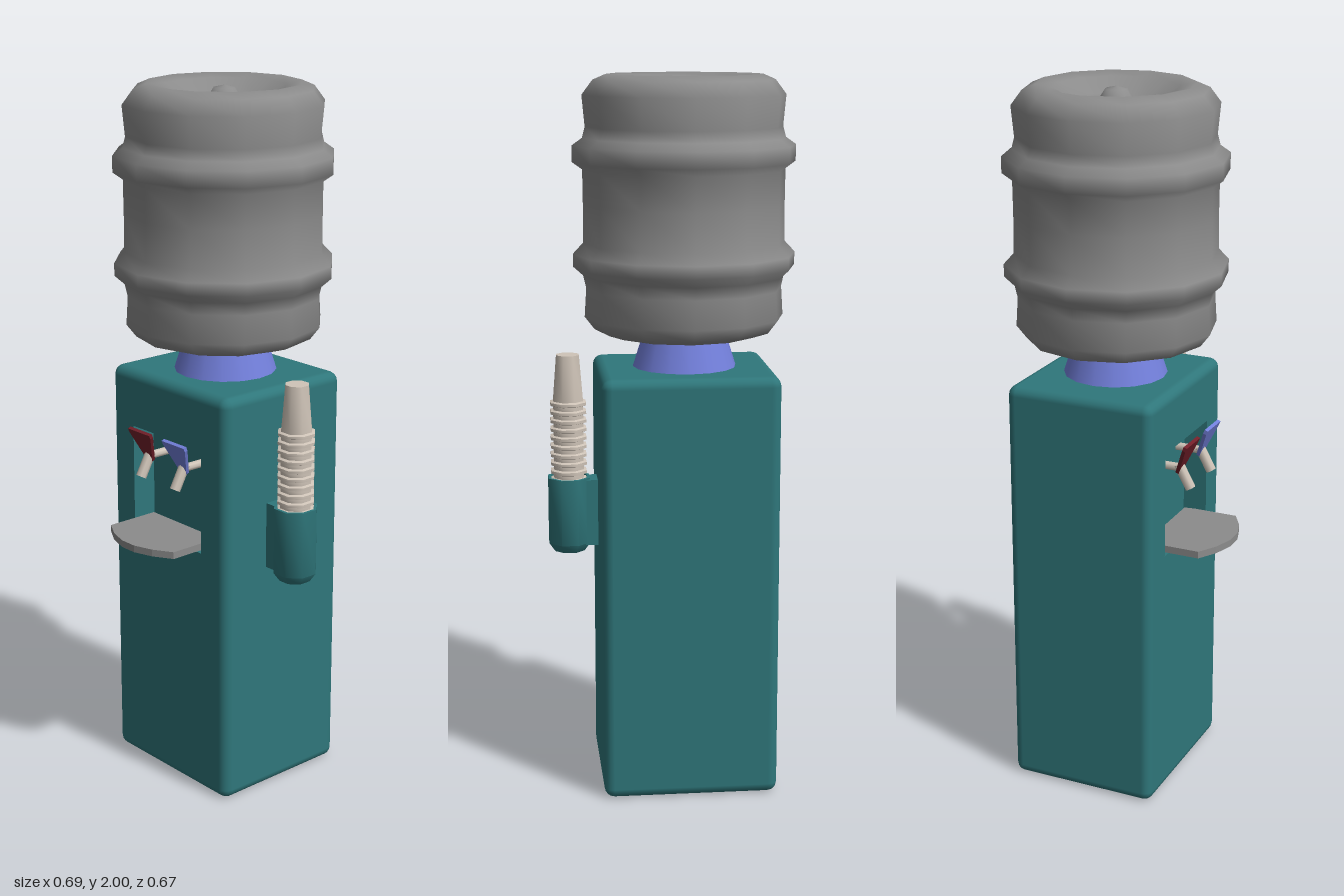
import * as THREE from 'three';
import { toCreasedNormals } from 'three/addons/utils/BufferGeometryUtils.js';
import { RoundedBoxGeometry } from 'three/addons/geometries/RoundedBoxGeometry.js';

const material = (name, color, side = THREE.FrontSide) => {
  const m = new THREE.MeshStandardMaterial({ color, side });
  m.name = name;
  return m;
};
const lathe = (points, sides, start = 0) =>
  new THREE.LatheGeometry(points.map(([r, y]) => new THREE.Vector2(r, y)), sides, start);

export function createModel() {
  const teal = material('teal', 0x2f777b, THREE.DoubleSide);
  const grey = material('grey', 0x8c8c8c);
  const blue = material('blue', 0x7380dc);
  const red = material('red', 0x74202a);
  const beige = material('beige', 0xcfc4b8);

  const root = new THREE.Group();
  root.name = 'waterCooler';
  const add = (name, geometry, mat, x = 0, y = 0, z = 0, parent = root) => {
    const mesh = new THREE.Mesh(geometry, mat);
    mesh.name = name;
    mesh.position.set(x, y, z);
    parent.add(mesh);
    return mesh;
  };

  const CX = -0.04, CZ = -0.03;
  const W = 0.49, H = 1.2, D = 0.435, R = 0.028;
  const front = CZ + D / 2;
  const niche = { x0: -0.188, x1: 0.105, y0: 0.735, y1: 1.037, depth: 0.065 };

  // Cabinet shell: rounded box with its flat front panel taken off
  const rounded = new RoundedBoxGeometry(W, H, D, 2, R);
  const box = rounded.index ? rounded.toNonIndexed() : rounded;
  const p = box.attributes.position, n = box.attributes.normal;
  const keptP = [], keptN = [];
  for (let i = 0; i < p.count; i += 3) {
    const isFront = [0, 1, 2].every((k) => p.getZ(i + k) > D / 2 - 1e-4);
    if (isFront) continue;
    for (let k = i; k < i + 3; k++) {
      keptP.push(p.getX(k), p.getY(k), p.getZ(k));
      keptN.push(n.getX(k), n.getY(k), n.getZ(k));
    }
  }
  const shell = new THREE.BufferGeometry();
  shell.setAttribute('position', new THREE.Float32BufferAttribute(keptP, 3));
  shell.setAttribute('normal', new THREE.Float32BufferAttribute(keptN, 3));
  add('cabinet', shell, teal, CX, H / 2, CZ);

  // Front panel with the niche opening
  const rect = (Type, x0, x1, y0, y1) => new Type([
    new THREE.Vector2(x0, y0), new THREE.Vector2(x1, y0),
    new THREE.Vector2(x1, y1), new THREE.Vector2(x0, y1)]);
  const panel = rect(THREE.Shape, CX - W / 2 + R, CX + W / 2 - R, R, H - R);
  panel.holes.push(rect(THREE.Path, niche.x0, niche.x1, niche.y0, niche.y1));
  add('frontPanel', new THREE.ShapeGeometry(panel), teal, 0, 0, front);

  // Niche: an open box seen from inside, narrowing slightly to the back
  const nw = niche.x1 - niche.x0, nh = niche.y1 - niche.y0;
  const nicheBox = new THREE.BoxGeometry(nw, nh, niche.depth);
  nicheBox.setIndex(Array.from(nicheBox.index.array).filter((_, i) => i < 24 || i >= 30));
  nicheBox.clearGroups();
  const np = nicheBox.attributes.position;
  for (let i = 0; i < np.count; i++) {
    if (np.getZ(i) < 0) {
      np.setX(i, np.getX(i) - Math.sign(np.getX(i)) * 0.01);
      np.setY(i, np.getY(i) - Math.sign(np.getY(i)) * 0.01);
    }
  }
  add('niche', nicheBox, teal, niche.x0 + nw / 2, niche.y0 + nh / 2, front - niche.depth / 2);

  // Drip tray with a faceted bowed front
  const tray = new THREE.Shape();
  [[-0.178, 0.125], [0.1, 0.125], [0.1, 0.283], [0.045, 0.315], [-0.012, 0.333],
    [-0.065, 0.333], [-0.123, 0.315], [-0.178, 0.283]].forEach(([x, z], i) =>
    i ? tray.lineTo(x, -z) : tray.moveTo(x, -z));
  const trayGeometry = new THREE.ExtrudeGeometry(tray, { depth: 0.02, bevelEnabled: false });
  trayGeometry.rotateX(-Math.PI / 2);
  add('dripTray', trayGeometry, grey, 0, 0.743, 0);

  // Taps: flat tilted paddle, spout and feed pipe
  const paddle = new THREE.Shape([[-0.012, 0], [0.012, 0], [0.047, 0.088], [0.047, 0.1],
    [-0.047, 0.1], [-0.012 - 0.035, 0.088]].map(([x, y]) => new THREE.Vector2(x, y)));
  const paddleGeometry = new THREE.ExtrudeGeometry(paddle, { depth: 0.01, bevelEnabled: false });
  for (const [name, x, mat] of [['hotTap', -0.106, red], ['coldTap', 0.042, blue]]) {
    const tap = new THREE.Group();
    tap.name = name;
    tap.position.set(x, 0.96, 0.187);
    root.add(tap);
    add('tapHandle', paddleGeometry, mat, 0, 0, 0, tap).rotation.x = 0.4;
    const spout = add('tapSpout', new THREE.CylinderGeometry(0.015, 0.015, 0.075, 8), beige, 0, -0.012, 0.023, tap);
    spout.rotation.x = -0.5;
    const pipe = add('tapPipe', new THREE.CylinderGeometry(0.012, 0.012, 0.07, 8), beige, 0, 0.012, -0.03, tap);
    pipe.rotation.x = Math.PI / 2;
  }

  // Collar under the bottle
  add('collar', lathe([[0.146, 1.195], [0.11, 1.31]], 16), blue, CX, 0, CZ);

  // Bottle with two ribs and a dished top with a knob
  add('bottle', lathe([
    [0, 1.29], [0.205, 1.29], [0.25, 1.305], [0.277, 1.34], [0.272, 1.42], [0.28, 1.455],
    [0.308, 1.48], [0.308, 1.515], [0.28, 1.545], [0.279, 1.65], [0.28, 1.745],
    [0.308, 1.765], [0.308, 1.81], [0.28, 1.83], [0.272, 1.86], [0.28, 1.945],
    [0.25, 1.985], [0.215, 2], [0.17, 1.99], [0.11, 1.955], [0.055, 1.945],
    [0.043, 1.965], [0.03, 1.985], [0, 1.992],
  ], 12), grey, CX, 0, CZ + 0.004);

  // Cup holder on the left side with its bracket
  const HX = 0.285, turn = Math.PI / 8;
  add('cupHolder', toCreasedNormals(lathe([
    [0, 0.665], [0.045, 0.665], [0.063, 0.69], [0.063, 0.88], [0.054, 0.88], [0.054, 0.84],
  ], 8, turn), 0.8), teal, HX, 0, 0);
  add('holderBracket', new THREE.BoxGeometry(0.06, 0.19, 0.07), teal, 0.222, 0.78, 0);

  // Stack of upturned cups: repeated rims, then the last cup's body
  const cups = [];
  for (let i = 0; i < 10; i++) {
    const y = 0.865 + i * 0.0245;
    cups.push([0.045, y], [0.054, y + 0.003], [0.054, y + 0.011], [0.045, y + 0.014]);
  }
  cups.push([0.034, 1.23], [0, 1.23]);
  add('cups', toCreasedNormals(lathe(cups, 8, turn), 0.8), beige, HX, 0, 0);

  return root;
}
